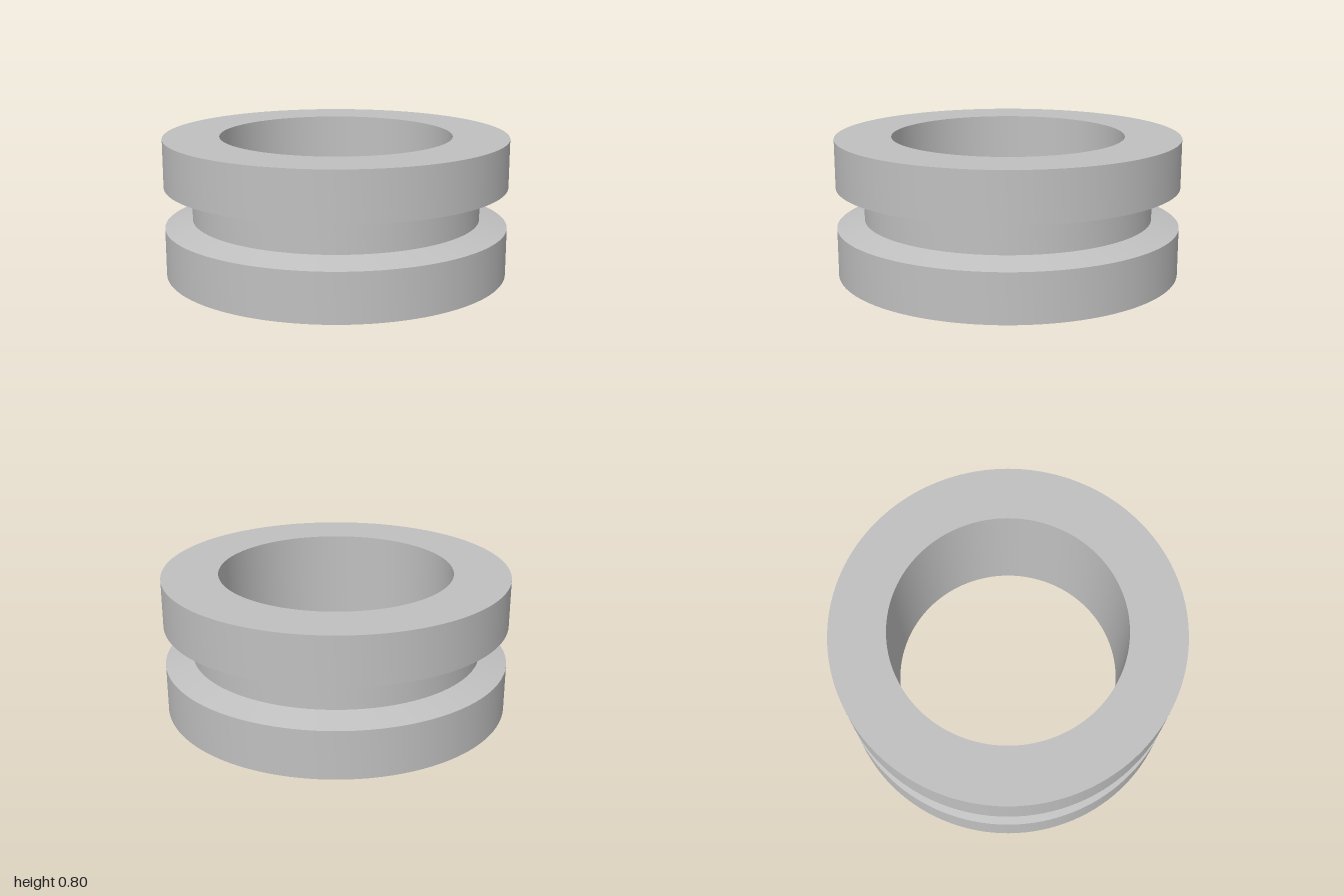
import * as THREE from 'three';
import { toCreasedNormals } from 'three/addons/utils/BufferGeometryUtils.js';

export function createModel() {
  const group = new THREE.Group();
  group.name = 'groovedRing';

  const greyMetal = new THREE.MeshStandardMaterial({ color: 0xc0c0c0 });
  greyMetal.name = 'grey metal';

  const bore = 0.675, rim = 1, groove = 0.84, height = 0.8;

  // Closed cross-section: underside, lower flange, tapered groove, upper flange, bore
  const profile = [
    [bore, 0], [rim, 0], [rim, 0.28],
    [groove, 0.32], [groove, 0.48],
    [rim, 0.52], [rim, height], [bore, height], [bore, 0],
  ].map(([r, y]) => new THREE.Vector2(r, y));

  // Smooth around the ring, sharp at the profile corners
  const ring = new THREE.Mesh(
    toCreasedNormals(new THREE.LatheGeometry(profile, 128), 0.5),
    greyMetal
  );
  ring.name = 'ringBody';
  group.add(ring);

  return group;
}
